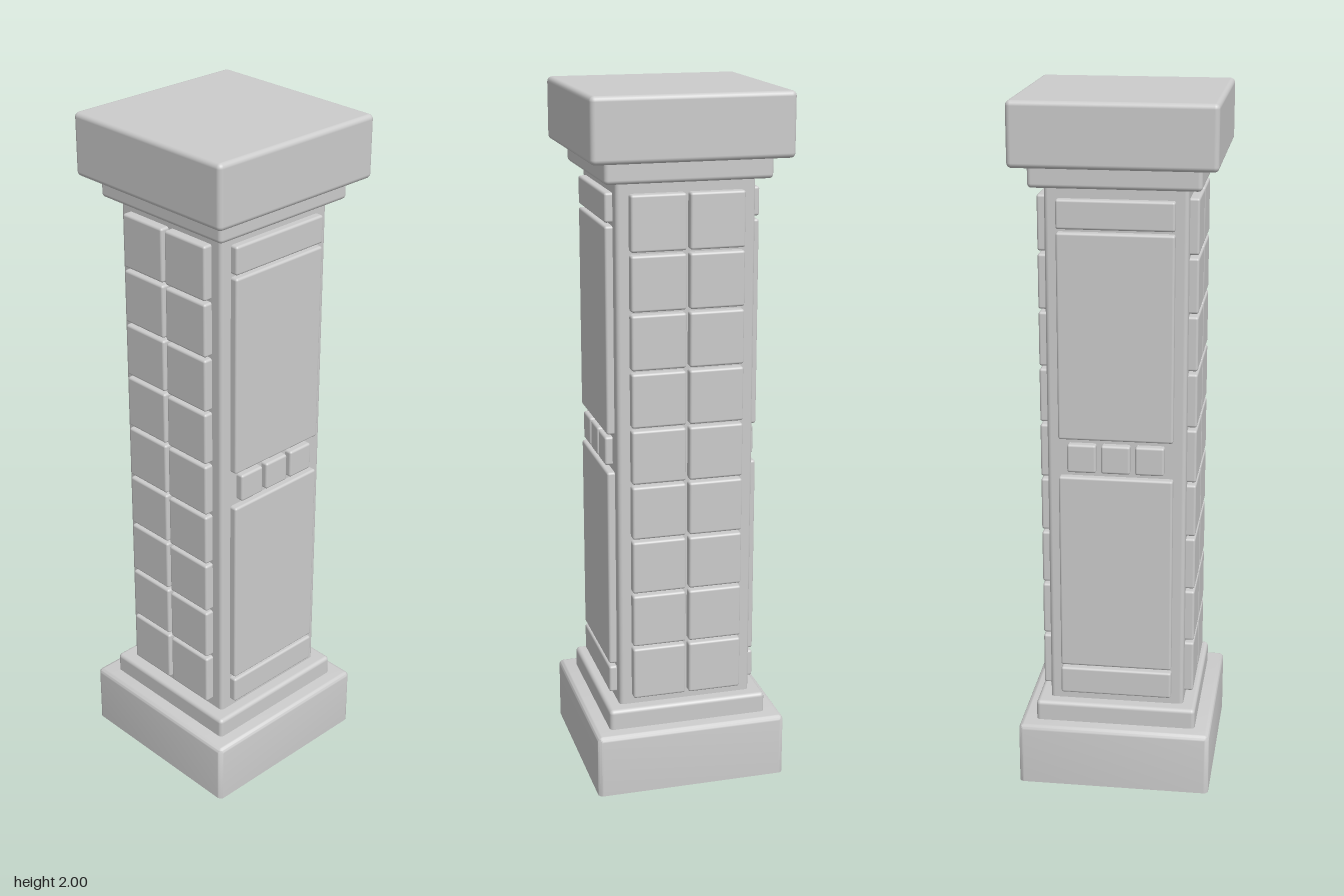
import * as THREE from 'three';
import { RoundedBoxGeometry } from 'three/addons/geometries/RoundedBoxGeometry.js';
import { toCreasedNormals } from 'three/addons/utils/BufferGeometryUtils.js';

const material = new THREE.MeshStandardMaterial({ color: 0xcccccc });

// Rounded block spanning y0..y1, centred on x and z unless offset
function block(name, width, y0, y1, depth, radius, x = 0, z = 0) {
  const mesh = new THREE.Mesh(new RoundedBoxGeometry(width, y1 - y0, depth, 3, radius), material);
  mesh.name = name;
  mesh.position.set(x, (y0 + y1) / 2, z);
  return mesh;
}

// Block with a rounded top and a sharp, flat underside
function plinth(name, size, height, radius) {
  const r = radius;
  let geometry = new RoundedBoxGeometry(size, height + 2 * r, size, 3, r);
  geometry.translate(0, height / 2 - r, 0);
  const p = geometry.attributes.position;
  for (let i = 0; i < p.count; i++) if (p.getY(i) < 0) p.setY(i, 0);
  geometry = toCreasedNormals(geometry, 0.7);
  const mesh = new THREE.Mesh(geometry, material);
  mesh.name = name;
  return mesh;
}

// Two columns of nine tiles, facing +z
function tiledFace(name) {
  const face = new THREE.Group();
  face.name = name;
  for (let row = 0; row < 9; row++) {
    const y = 0.27 + row * 0.1636;
    for (const x of [-0.0825, 0.0825])
      face.add(block('tile', 0.155, y, y + 0.155, 0.05, 0.007, x, 0.197));
  }
  return face;
}

// Long panels, end bands and a row of three studs, facing +z
function panelledFace(name) {
  const face = new THREE.Group();
  face.name = name;
  const panels = [
    ['lowerBand', 0.27, 0.351],
    ['lowerPanel', 0.36, 0.946],
    ['upperPanel', 1.057, 1.643],
    ['upperBand', 1.652, 1.733],
  ];
  for (const [part, y0, y1] of panels)
    face.add(block(part, 0.323, y0, y1, 0.05, 0.007, 0, 0.193));
  for (const x of [-0.096, 0, 0.096])
    face.add(block('stud', 0.082, 0.96, 1.043, 0.05, 0.007, x, 0.193));
  return face;
}

export function createModel() {
  const column = new THREE.Group();
  column.name = 'column';

  // Base, shaft and capital
  column.add(
    plinth('base', 0.56, 0.185, 0.014),
    block('baseStep', 0.468, 0.15, 0.244, 0.468, 0.012),
    block('shaft', 0.392, 0.2, 1.8, 0.392, 0.012),
    block('capitalStep', 0.468, 1.764, 1.85, 0.468, 0.012),
    block('capital', 0.56, 1.823, 2, 0.56, 0.014),
  );

  // Raised panels: tiles front and back, long panels on the sides
  const faces = [
    tiledFace('frontTiles'), panelledFace('leftPanels'),
    tiledFace('backTiles'), panelledFace('rightPanels'),
  ];
  faces.forEach((face, i) => {
    face.rotation.y = i * Math.PI / 2;
    column.add(face);
  });
  return column;
}
